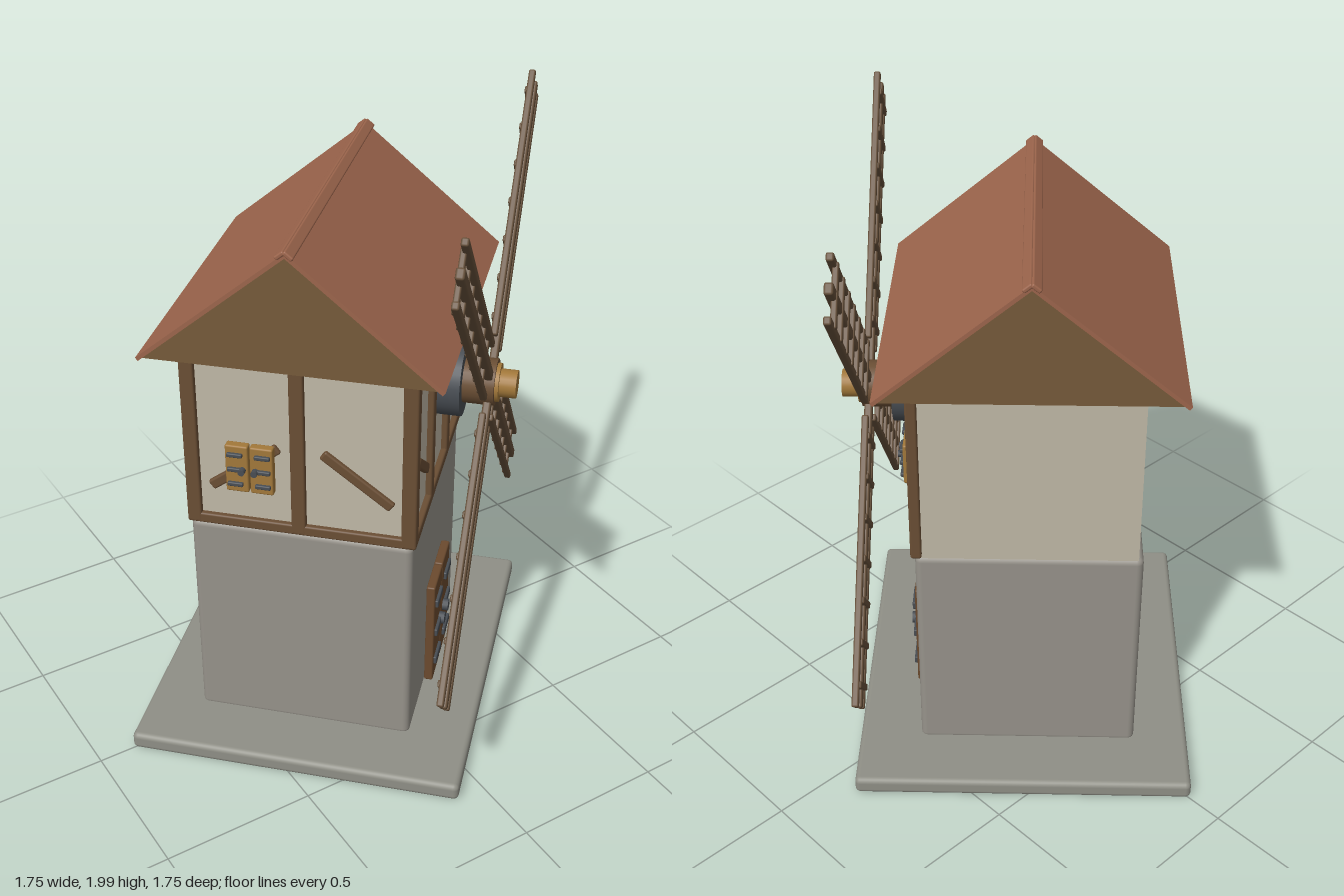
import * as THREE from 'three';
import { RoundedBoxGeometry } from 'three/addons/geometries/RoundedBoxGeometry.js';

const mat = (name, color) => {
  const m = new THREE.MeshStandardMaterial({ color });
  m.name = name;
  return m;
};

export function createModel() {
  const M = {
    slab: mat('slab grey', 0x8f8f86),
    stone: mat('stone grey', 0x96928a),
    plaster: mat('plaster', 0xc0b8a6),
    timber: mat('timber', 0x6a4e34),
    gable: mat('gable wood', 0x765a3a),
    roof: mat('roof tile', 0x9c654c),
    sail: mat('sail wood', 0x66503a),
    gold: mat('light wood', 0xa2783a),
    door: mat('door wood', 0x6b4a2e),
    iron: mat('iron', 0x484d53),
  };

  const add = (parent, name, geo, material, x = 0, y = 0, z = 0) => {
    const m = new THREE.Mesh(geo, material);
    m.name = name;
    m.position.set(x, y, z);
    parent.add(m);
    return m;
  };
  const box = (parent, name, material, w, h, d, x, y, z) =>
    add(parent, name, new THREE.BoxGeometry(w, h, d), material, x, y, z);
  const rbox = (parent, name, material, w, h, d, x, y, z, r) =>
    add(parent, name, new RoundedBoxGeometry(w, h, d, 3, r), material, x, y, z);
  const group = (parent, name) => {
    const g = new THREE.Group();
    g.name = name;
    parent.add(g);
    return g;
  };
  // disc or rod along the z axis
  const rod = (parent, name, material, r, z0, z1, x, y, sides = 24) =>
    add(parent, name, new THREE.CylinderGeometry(r, r, z1 - z0, sides).rotateX(Math.PI / 2),
      material, x, y, (z0 + z1) / 2);

  const root = new THREE.Group();
  root.name = 'windmill';
  const mill = group(root, 'mill');
  mill.rotation.y = Math.PI / 4; // the sail face looks along the diagonal
  const CZ = -0.088; // middle of the building's depth

  // Foundation, stone storey and plaster storey
  rbox(mill, 'foundation', M.slab, 1.25, 0.06, 1.1, 0, 0.03, -0.075, 0.018);
  rbox(mill, 'stoneStorey', M.stone, 0.82, 0.77, 0.715, 0, 0.43, CZ, 0.022);
  box(mill, 'plasterStorey', M.plaster, 0.81, 0.64, 0.69, 0, 1.13, CZ + 0.004);

  // Solid gable prism
  const halfD = 0.445, eave = 1.438, apex = 1.81;
  const tri = new THREE.Shape();
  tri.moveTo(-halfD, eave);
  tri.lineTo(halfD, eave);
  tri.lineTo(0, apex);
  tri.closePath();
  const prism = new THREE.ExtrudeGeometry(tri, { depth: 1.0, bevelEnabled: false });
  prism.translate(0, 0, -0.5).rotateY(Math.PI / 2);
  add(mill, 'gable', prism, M.gable, 0, 0, CZ);

  // Roof slopes and ridge caps
  for (const s of [-1, 1]) {
    const slope = new THREE.Shape();
    slope.moveTo(0, apex - 0.002);
    slope.lineTo(0, apex + 0.014);
    slope.lineTo(s * 0.458, eave + 0.004);
    slope.lineTo(s * 0.45, eave - 0.006);
    slope.closePath();
    const g = new THREE.ExtrudeGeometry(slope, { depth: 1.02, bevelEnabled: false });
    // the extrusion runs along x; rotating flips the profile, which the mirrored pair absorbs
    g.translate(0, 0, -0.51).rotateY(Math.PI / 2);
    add(mill, s < 0 ? 'roofFront' : 'roofBack', g, M.roof, 0, 0, CZ);
    const cap = rbox(mill, 'ridgeCap', M.roof, 1.04, 0.014, 0.034, 0, apex + 0.009, CZ + s * 0.012, 0.005);
    cap.rotation.x = s * 0.69;
  }

  // Timber framing on a wall: x along the wall, z outward
  const frame = (parent, x0, x1, posts, braces, face) => {
    const mid = (x0 + x1) / 2;
    for (const x of posts) rbox(parent, 'post', M.timber, 0.046, 0.62, 0.035, x, 1.13, face, 0.007);
    for (const y of [0.835, 1.427])
      rbox(parent, 'rail', M.timber, x1 - x0, 0.036, 0.034, mid, y, face, 0.007);
    for (const [ax, ay, bx, by] of braces) {
      const b = rbox(parent, 'brace', M.timber, Math.hypot(bx - ax, by - ay) + 0.02, 0.034, 0.026,
        (ax + bx) / 2, (ay + by) / 2, face, 0.007);
      b.rotation.z = Math.atan2(by - ay, bx - ax);
    }
  };

  // Pair of shuttered leaves with iron straps and knobs
  const leaves = (parent, name, material, w, h, x, y, face, straps, strapH) => {
    const g = group(parent, name);
    g.position.set(x, y, face);
    const lw = w / 2 - 0.005;
    for (const s of [-1, 1]) {
      rbox(g, 'leaf', material, lw, h, 0.03, s * w / 4, 0, 0, 0.006);
      straps.forEach((sy, i) => {
        const inner = i === 1;
        rbox(g, 'strap', M.iron, lw * 0.68, strapH, 0.014, s * w * 0.28, sy, 0.018, 0.004);
        if (inner) rod(g, 'knob', M.iron, strapH * 0.75, 0.01, 0.035, s * w * 0.13, sy, 12);
      });
    }
    return g;
  };

  // Sail-side wall
  const front = group(mill, 'sailWall');
  frame(front, -0.42, 0.42, [-0.4, -0.14, 0.14, 0.4],
    [[-0.345, 1.09, -0.2, 0.98], [0.2, 1.12, 0.345, 0.98]], 0.264);
  leaves(front, 'frontShutters', M.gold, 0.18, 0.14, 0.2, 1.08, 0.29, [0.045, 0, -0.045], 0.014);
  leaves(front, 'door', M.door, 0.285, 0.4, 0, 0.262, 0.285, [0.123, 0, -0.122], 0.028);

  // Gable-side wall, turned so its outward axis is the mill's -x
  const side = group(mill, 'gableWall');
  side.rotation.y = -Math.PI / 2;
  frame(side, -0.45, 0.28, [-0.427, -0.09, 0.257],
    [[-0.36, 0.965, -0.16, 1.115], [-0.005, 1.115, 0.195, 0.965]], 0.405);
  leaves(side, 'sideShutters', M.gold, 0.155, 0.165, -0.235, 1.052, 0.43, [0.052, 0, -0.052], 0.014);

  // Hub and axle
  const HY = 1.2;
  const hub = group(mill, 'hub');
  rod(hub, 'bearingPlate', M.iron, 0.12, 0.26, 0.35, 0, HY, 32);
  rod(hub, 'hubBlock', M.timber, 0.075, 0.35, 0.45, 0, HY);
  rod(hub, 'axleCollar', M.gold, 0.062, 0.44, 0.462, 0, HY);
  rod(hub, 'axleEnd', M.gold, 0.045, 0.44, 0.515, 0, HY);

  // Four lattice sails
  const sails = group(mill, 'sails');
  sails.position.set(0, HY, 0.43);
  for (let i = 0; i < 4; i++) {
    const sail = group(sails, 'sail');
    sail.rotation.z = Math.PI / 4 + i * Math.PI / 2;
    rbox(sail, 'spar', M.sail, 1.02, 0.034, 0.026, 0.515, 0, 0, 0.007);
    for (const s of [-1, 1])
      rbox(sail, 'sideRail', M.sail, 0.9, 0.024, 0.022, 0.575, s * 0.085, 0, 0.006);
    for (let k = 0; k < 7; k++)
      rbox(sail, 'rung', M.sail, 0.022, 0.18, 0.018, 0.19 + k * 0.128, 0, -0.008, 0.005);
  }
  return root;
}
